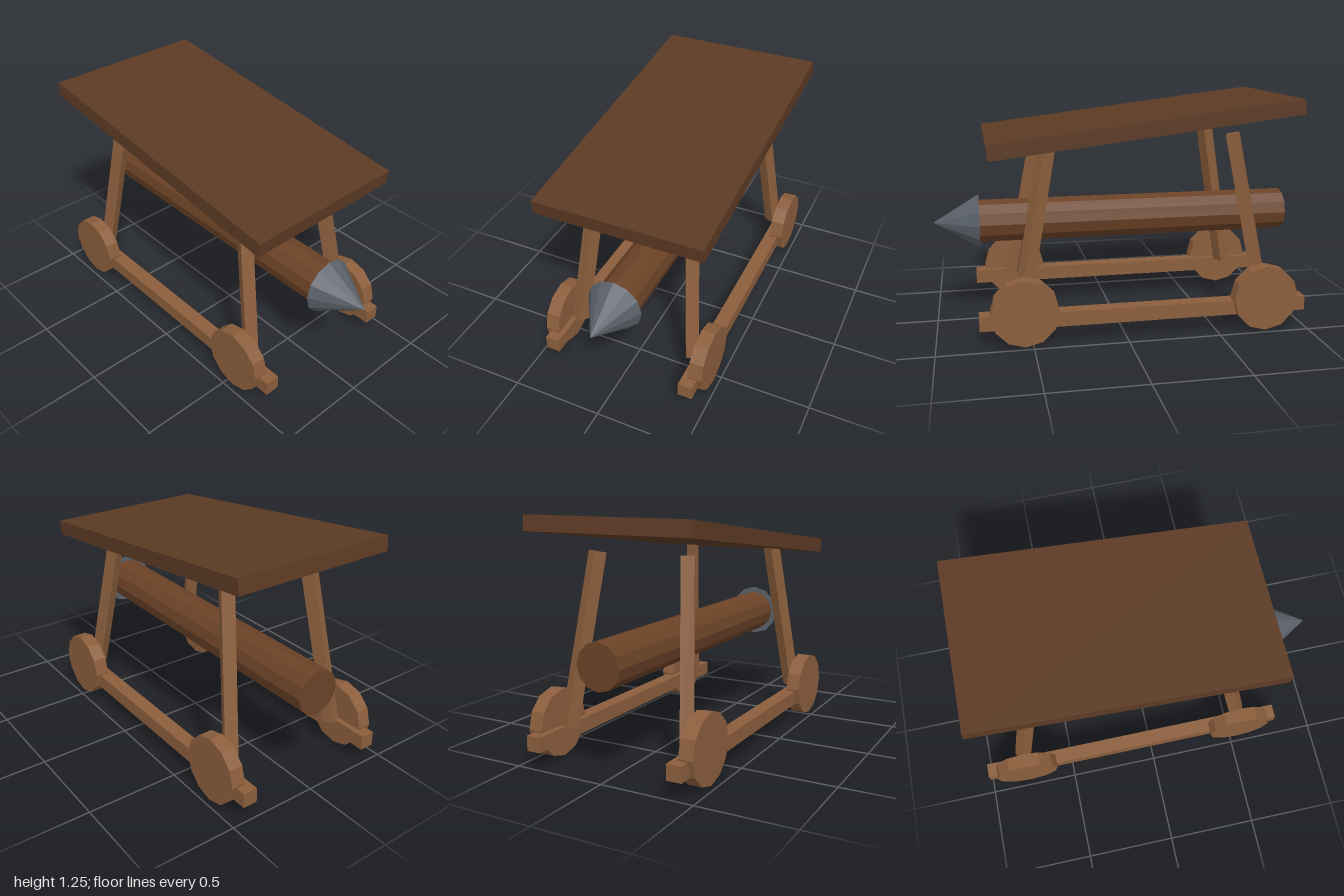
import * as THREE from 'three';

const mat = (color) => new THREE.MeshStandardMaterial({ color, flatShading: true });

export function createModel() {
  const group = new THREE.Group();
  const timber = mat(0x8b5e3c), darkWood = mat(0x5c3a24), logWood = mat(0x6b4226), iron = mat(0x5a6068);
  const cx = -0.113; // middle of the frame along x

  const add = (name, geometry, material, x, y, z) => {
    const mesh = new THREE.Mesh(geometry, material);
    mesh.name = name;
    mesh.position.set(x, y, z);
    group.add(mesh);
    return mesh;
  };

  // Sloping roof
  add('roof', new THREE.BoxGeometry(1.66, 0.08, 0.92), darkWood, -0.115, 1.115, 0).rotation.z = -0.12;

  // Ram log and pointed head
  add('ramLog', new THREE.CylinderGeometry(0.12, 0.12, 1.75, 12), logWood, -0.125, 0.57, 0).rotation.z = -Math.PI / 2;
  add('ramHead', new THREE.ConeGeometry(0.152, 0.25, 12), iron, 0.875, 0.57, 0).rotation.z = -Math.PI / 2;

  const up = new THREE.Vector3(0, 1, 0);
  for (const sz of [1, -1]) {
    const side = sz > 0 ? 'front' : 'back';
    // Bottom rail
    add(side + 'Rail', new THREE.BoxGeometry(1.775, 0.08, 0.08), timber, -0.1125, 0.13, sz * 0.4);

    for (const sx of [1, -1]) {
      const end = sx > 0 ? 'Left' : 'Right';
      // Wheel
      add(side + end + 'Wheel', new THREE.CylinderGeometry(0.18, 0.18, 0.077, 12), timber,
        cx + sx * 0.653, 0.18, sz * 0.43).rotation.x = Math.PI / 2;

      // Post leaning inwards, twisted about its own length
      const foot = new THREE.Vector3(cx + sx * 0.665, 0.168, sz * 0.345);
      const top = new THREE.Vector3(cx + sx * 0.5, 1.06, sz * 0.262);
      const dir = top.clone().sub(foot);
      const mid = foot.clone().add(top).multiplyScalar(0.5);
      const post = add(side + end + 'Post', new THREE.BoxGeometry(0.067, dir.length(), 0.067), timber, mid.x, mid.y, mid.z);
      post.quaternion.setFromUnitVectors(up, dir.normalize());
      post.rotateY(-0.46 * sx * sz);
    }
  }
  return group;
}
